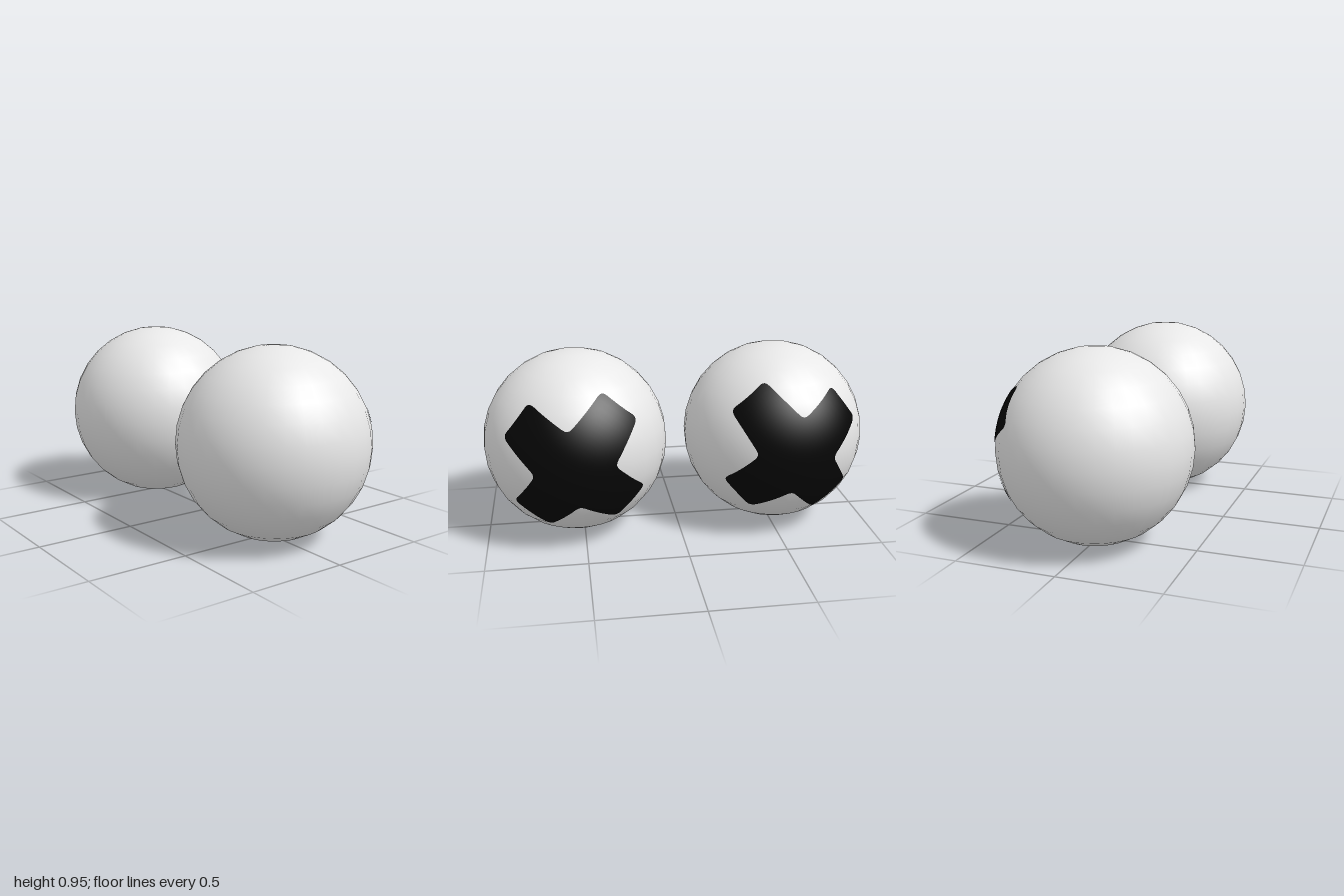
import * as THREE from 'three';

const R = 0.474, CZ = 0.526;

// Outline of the cross as seen from +x, clockwise: [across, up] from the ball centre.
const CROSS = [
  [-0.222, 0.302], [-0.046, 0.182], [0.125, 0.345], [0.294, 0.205],
  [0.172, 0.01], [0.326, -0.15], [0.184, -0.313], [-0.003, -0.197],
  [-0.153, -0.346], [-0.322, -0.204], [-0.209, -0.027], [-0.354, 0.133],
];

// Softens each corner and subdivides the straight edges between them.
function outline(points) {
  const v = points.map(p => new THREE.Vector2(...p));
  const out = [];
  const n = v.length;
  for (let i = 0; i < n; i++) {
    const c = v[i], prev = v[(i + n - 1) % n], next = v[(i + 1) % n];
    const toward = (from, to, d) => from.clone().add(to.clone().sub(from).setLength(d));
    const a = toward(c, prev, 0.03), b = toward(c, next, 0.03);
    out.push(...new THREE.QuadraticBezierCurve(a, c, b).getPoints(4));
    const end = toward(next, c, 0.03);
    for (let k = 1; k < 6; k++) out.push(b.clone().lerp(end, k / 6));
  }
  return out;
}

// Fan of rings from the cross centre to its outline, wrapped onto the ball.
function crossGeometry(points) {
  const edge = outline(points), n = edge.length, rings = 12, r = R + 0.0015;
  const centre = new THREE.Vector2(-0.02 * Math.sign(-points[0][0]), 0);
  const pos = [], nor = [], idx = [];
  for (let i = 0; i <= rings; i++) {
    for (const e of edge) {
      const p = centre.clone().lerp(e, i / rings);
      const x = Math.sqrt(r * r - p.lengthSq());
      pos.push(x, p.y, -p.x);
      nor.push(x / r, p.y / r, -p.x / r);
    }
  }
  for (let i = 0; i < rings; i++) {
    for (let j = 0; j < n; j++) {
      const a = i * n + j, b = i * n + (j + 1) % n, c = a + n, d = b + n;
      if (i > 0) idx.push(a, d, b);
      idx.push(a, c, d);
    }
  }
  const g = new THREE.BufferGeometry();
  g.setAttribute('position', new THREE.Float32BufferAttribute(pos, 3));
  g.setAttribute('normal', new THREE.Float32BufferAttribute(nor, 3));
  g.setIndex(idx);
  return g;
}

export function createModel() {
  const model = new THREE.Group();
  const paleGrey = new THREE.MeshStandardMaterial({ color: 0xe7e7e7 });
  paleGrey.name = 'pale grey';
  const black = new THREE.MeshStandardMaterial({ color: 0x060606 });
  black.name = 'black';

  // Two balls, each with a cross on its +x side; the back one is mirrored.
  for (const side of [1, -1]) {
    const eye = new THREE.Group();
    eye.name = side > 0 ? 'frontBall' : 'backBall';
    eye.position.set(0, R, side * CZ);

    const ball = new THREE.Mesh(new THREE.SphereGeometry(R, 32, 16), paleGrey);
    ball.name = 'ball';

    const points = side > 0
      ? [...CROSS].reverse()
      : CROSS.map(([u, v]) => [-u, v + 0.012]);
    const cross = new THREE.Mesh(crossGeometry(points), black);
    cross.name = 'cross';

    eye.add(ball, cross);
    model.add(eye);
  }
  return model;
}
